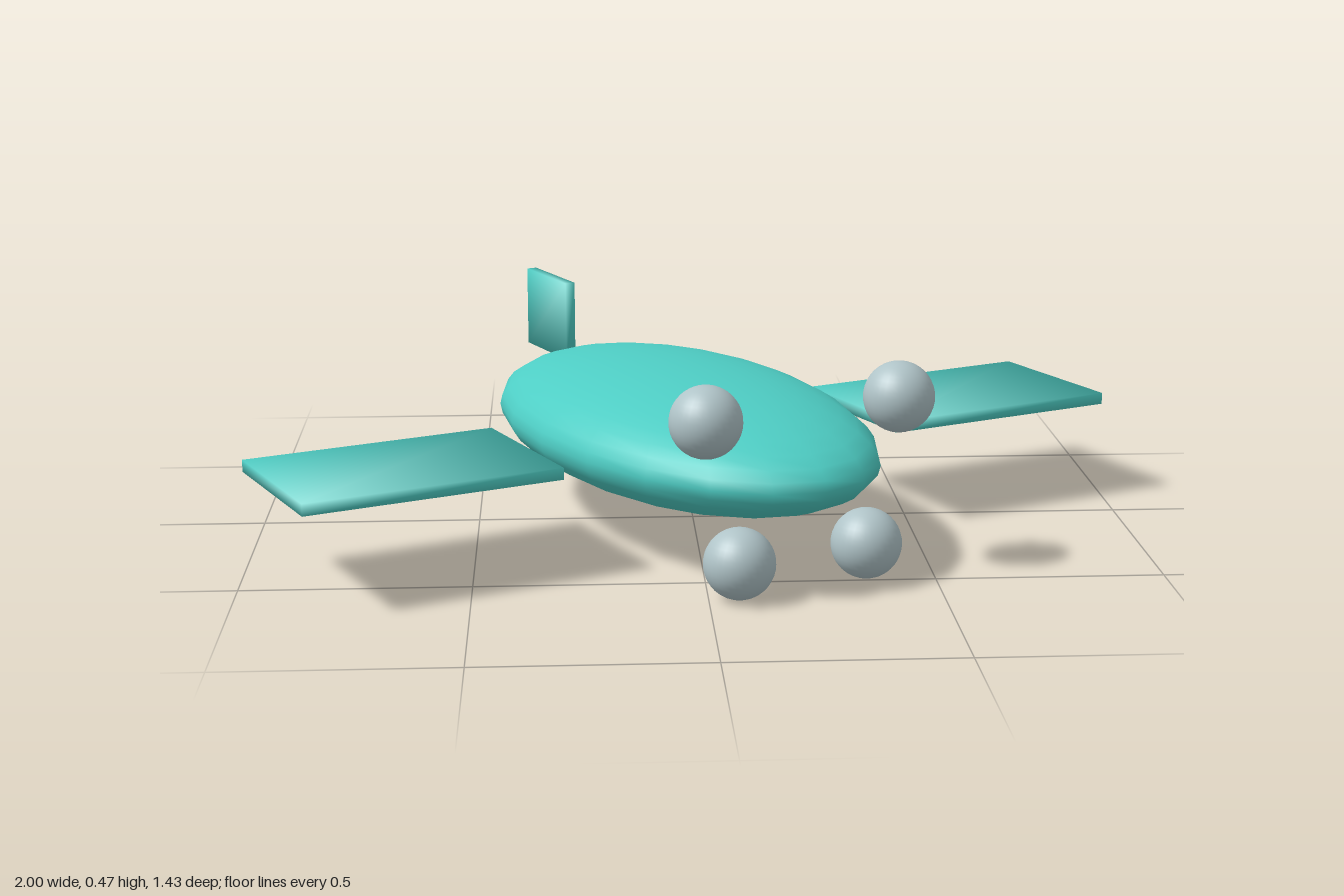
import * as THREE from 'three';

// Thin box whose normals blend across the corners, for soft-shaded panels
function softPanel(w, h, d) {
  const geo = new THREE.BoxGeometry(w, h, d);
  const p = geo.attributes.position, n = geo.attributes.normal, k = 1 / Math.sqrt(3);
  for (let i = 0; i < p.count; i++) {
    n.setXYZ(i, Math.sign(p.getX(i)) * k, Math.sign(p.getY(i)) * k, Math.sign(p.getZ(i)) * k);
  }
  return geo;
}

export function createModel() {
  const teal = new THREE.MeshStandardMaterial({ name: 'teal', color: 0x4ecdc4 });
  const paleGrey = new THREE.MeshStandardMaterial({ name: 'pale grey', color: 0xb0c4c8 });

  // The craft is yawed; parts are placed around the body's centre
  const craft = new THREE.Group();
  craft.name = 'craft';
  craft.position.set(-0.0275, 0.2365, 0.04);
  craft.rotation.y = THREE.MathUtils.degToRad(25);

  const add = (name, geo, mat, x, y, z) => {
    const mesh = new THREE.Mesh(geo, mat);
    mesh.name = name;
    mesh.position.set(x, y, z);
    craft.add(mesh);
  };

  // Flattened ellipsoid body
  const bodyGeo = new THREE.SphereGeometry(1, 20, 20).scale(0.358, 0.142, 0.649);
  add('body', bodyGeo, teal, 0, 0, 0);

  const wingGeo = softPanel(0.588, 0.027, 0.387);
  const finGeo = softPanel(0.025, 0.195, 0.231);
  const ballGeo = new THREE.SphereGeometry(0.0775, 32, 20);

  for (const side of [1, -1]) {
    const s = side > 0 ? 'left' : 'right';
    // Detached flat wings
    add(s + 'Wing', wingGeo, teal, side * 0.717, 0, 0.065);
    // Balls around the nose, the upper pair wider apart
    add(s + 'UpperBall', ballGeo, paleGrey, side * 0.236, 0.158, 0.552);
    add(s + 'LowerBall', ballGeo, paleGrey, side * 0.157, -0.158, 0.556);
    // Tail fins above and below
    add(side > 0 ? 'upperTailFin' : 'lowerTailFin', finGeo, teal, 0, side * 0.131, -0.713);
  }

  const model = new THREE.Group();
  model.name = 'model';
  model.add(craft);
  return model;
}
